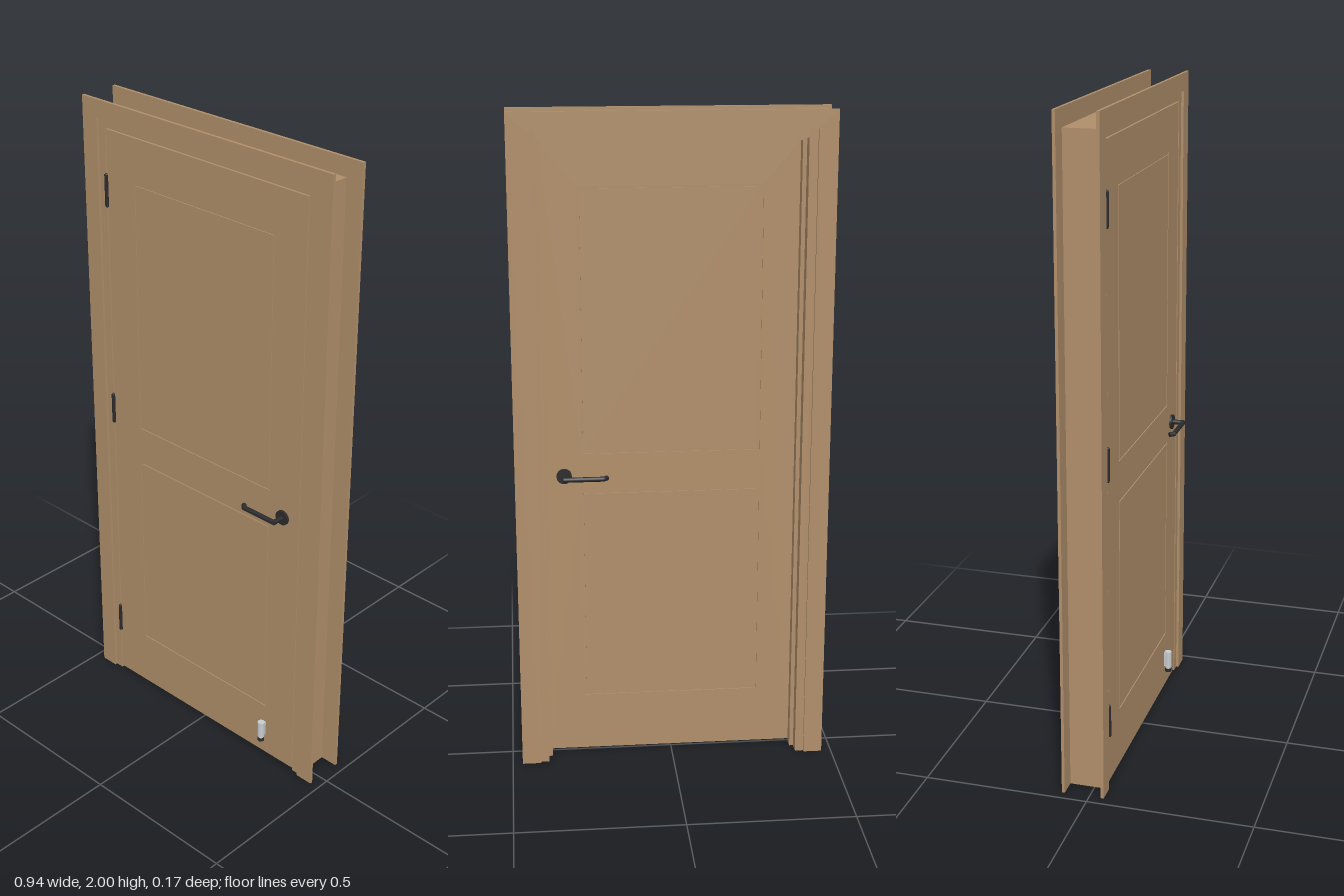
import * as THREE from 'three';

const mat = (name, color, side = THREE.FrontSide) => {
  const m = new THREE.MeshStandardMaterial({ color, side });
  m.name = name;
  return m;
};

export function createModel() {
  const wood = mat('wood', 0xb08f6a);
  const black = mat('black metal', 0x2b2b2d);
  const steel = mat('pale steel', 0xc9ccd0);
  const root = new THREE.Group();
  root.name = 'door';

  const add = (parent, name, geometry, material, x = 0, y = 0, z = 0) => {
    const mesh = new THREE.Mesh(geometry, material);
    mesh.name = name;
    mesh.position.set(x, y, z);
    parent.add(mesh);
    return mesh;
  };
  // box given by its limits
  const box = (parent, name, material, x0, x1, y0, y1, z0, z1) =>
    add(parent, name, new THREE.BoxGeometry(x1 - x0, y1 - y0, z1 - z0), material,
      (x0 + x1) / 2, (y0 + y1) / 2, (z0 + z1) / 2);
  const outline = (points, T = THREE.Shape) => new T(points.map(p => new THREE.Vector2(...p)));
  const rect = (x0, x1, y0, y1) => [[x0, y0], [x1, y0], [x1, y1], [x0, y1]];
  const extrude = (shape, depth) =>
    new THREE.ExtrudeGeometry(shape, { depth, bevelEnabled: false });

  // mitred casings on both faces of the wall
  const OX = 0.47, IX = 0.413, TOP = 2, IY = 1.945;
  const casingPieces = {
    leftCasing: [[IX, 0], [OX, 0], [OX, TOP], [IX, IY]],
    rightCasing: [[-OX, 0], [-IX, 0], [-IX, IY], [-OX, TOP]],
    headCasing: [[-IX, IY], [IX, IY], [OX, TOP], [-OX, TOP]],
  };
  for (const [side, z] of [['front', 0.035], ['back', -0.085]]) {
    const casing = new THREE.Group();
    casing.name = side + 'Casing';
    for (const [name, pts] of Object.entries(casingPieces))
      add(casing, name, extrude(outline(pts), 0.009), wood, 0, 0, z);
    root.add(casing);
  }

  // jamb lining and the stop the door closes against
  const frame = new THREE.Group();
  frame.name = 'frame';
  root.add(frame);
  for (const s of [-1, 1]) {
    const side = s > 0 ? 'left' : 'right';
    const span = (a, b) => (s > 0 ? [a, b] : [-b, -a]);
    box(frame, side + 'Jamb', wood, ...span(0.387, 0.415), 0, 1.946, -0.077, 0.036);
    box(frame, side + 'Stop', wood, ...span(0.375, 0.387), 0, 1.92, -0.04, -0.007);
  }
  box(frame, 'headJamb', wood, -0.387, 0.387, 1.92, 1.946, -0.077, 0.036);
  box(frame, 'headStop', wood, -0.375, 0.375, 1.908, 1.92, -0.04, -0.007);

  // leaf: core with grooved skins on both faces
  const leaf = new THREE.Group();
  leaf.name = 'leaf';
  root.add(leaf);
  const DX = 0.383, D0 = 0.008, D1 = 1.916, FRONT = 0.035, BACK = -0.006, SKIN = 0.003, G = 0.006;
  box(leaf, 'core', wood, -DX, DX, D0, D1, BACK + SKIN, FRONT - SKIN);
  const panels = [[0.19, 0.86], [0.98, 1.78]];
  const PX = 0.27;
  const skin = outline(rect(-DX, DX, D0, D1));
  for (const [y0, y1] of panels) skin.holes.push(outline(rect(-PX, PX, y0, y1), THREE.Path));
  for (const z of [FRONT - SKIN, BACK]) {
    add(leaf, 'stilesAndRails', extrude(skin, SKIN), wood, 0, 0, z);
    for (const [y0, y1] of panels)
      box(leaf, 'panel', wood, -PX + G, PX - G, y0 + G, y1 - G, z, z + SKIN);
  }

  // hinges
  for (const y of [0.21, 1.01, 1.73]) {
    const hinge = new THREE.Group();
    hinge.name = 'hinge';
    add(hinge, 'knuckle', new THREE.CylinderGeometry(0.006, 0.006, 0.096, 12), black);
    for (const s of [-1, 1])
      add(hinge, 'cap', new THREE.SphereGeometry(0.005, 10, 6), black, 0, s * 0.048, 0);
    hinge.position.set(-0.386, y, 0.037);
    root.add(hinge);
  }

  // lever handles, one on each face
  const makeHandle = (name) => {
    const handle = new THREE.Group();
    handle.name = name;
    const R = 0.0075;
    const rod = (part, length) =>
      add(handle, part, new THREE.CylinderGeometry(R, R, length, 16), black);
    const rose = add(handle, 'rose', new THREE.CylinderGeometry(0.023, 0.023, 0.007, 28), black, 0, 0, 0.0035);
    rose.rotation.x = Math.PI / 2;
    const neck = rod('neck', 0.042);
    neck.rotation.x = Math.PI / 2;
    neck.position.z = 0.021;
    const lever = rod('lever', 0.121);
    lever.rotation.z = Math.PI / 2;
    lever.position.set(-0.0565, 0, 0.0395);
    // tip turned back towards the leaf
    const tip = rod('tip', 0.018);
    tip.rotation.set(0, -Math.PI / 4, Math.PI / 2);
    tip.position.set(-0.1215, 0, 0.0345);
    add(handle, 'elbow', new THREE.SphereGeometry(R, 14, 10), black, -0.117, 0, 0.0395);
    return handle;
  };
  const front = makeHandle('frontHandle');
  front.position.set(0.322, 0.912, FRONT);
  const back = makeHandle('backHandle');
  back.position.set(0.322, 0.912, BACK);
  back.rotation.z = Math.PI;
  back.rotation.y = Math.PI;
  back.rotation.z = 0;
  back.scale.x = -1;
  root.add(front, back);

  // door holder near the bottom of the leaf
  const holder = new THREE.Group();
  holder.name = 'doorHolder';
  add(holder, 'barrel', new THREE.CylinderGeometry(0.011, 0.011, 0.056, 20), steel, 0, 0.102, 0.012);
  box(holder, 'mount', steel, -0.009, 0.009, 0.08, 0.128, 0, 0.014);
  add(holder, 'plunger', new THREE.CylinderGeometry(0.008, 0.008, 0.008, 16), steel, 0, 0.072, 0.012);
  add(holder, 'foot', new THREE.CylinderGeometry(0.0105, 0.0105, 0.011, 20), black, 0, 0.0645, 0.012);
  holder.position.set(0.263, 0, FRONT);
  root.add(holder);

  return root;
}
